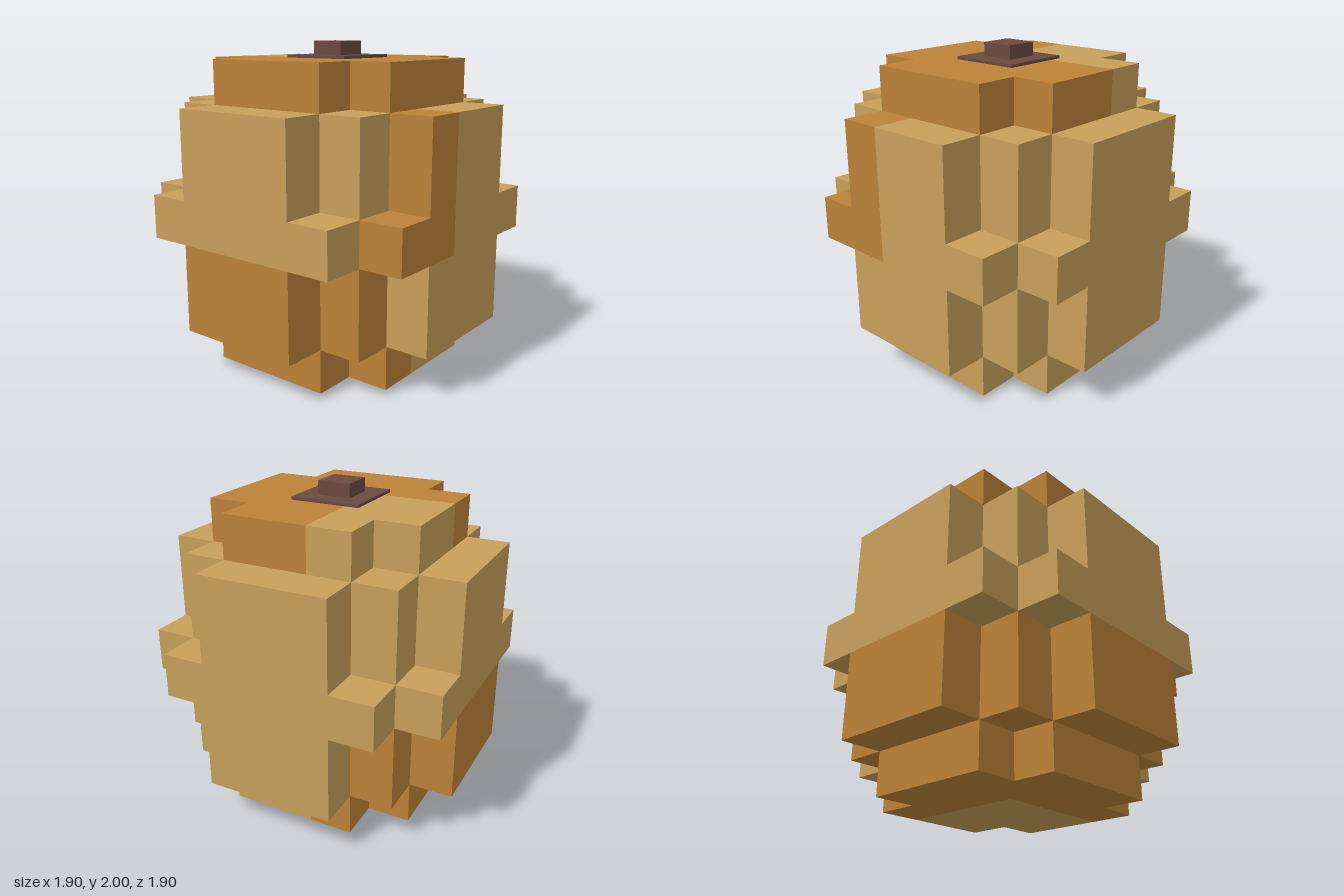
import * as THREE from 'three';
import { mergeGeometries } from 'three/addons/utils/BufferGeometryUtils.js';

const S = 0.271;            // edge of one cube
const TOP = 7 * S;

// Rounded 7x7x7 block body; i, j, k run from -3 to 3
function solid(i, j, k) {
  const x = Math.abs(i), y = Math.abs(j), z = Math.abs(k);
  if (Math.max(x, y, z) > 3) return false;
  if (y === 3) return x <= 2 && z <= 2 && x + z < 4;    // top and bottom caps
  if (x <= 2 && z <= 2) return true;                    // core
  const reach = y === 0 ? 2 : 1;                        // wider belt at mid height
  return (x === 3 && z <= reach) || (z === 3 && x <= reach);
}

// Patches of the darker colour, in chunks of three cubes: x, y, z
const PATCHES = new Set(['0,0,1', '0,0,2', '1,0,2', '2,1,2', '1,2,1', '0,2,2', '1,2,2']);
function isPatch(i, j, k) {
  const chunk = [i + 3, j + 3, k + 5].map((n) => Math.floor(n / 3));
  return PATCHES.has(chunk.join(','));
}

// One square face of a cube, facing along the normal n
function face(i, j, k, n) {
  const g = new THREE.PlaneGeometry(S, S);
  const normal = new THREE.Vector3(...n);
  g.applyQuaternion(new THREE.Quaternion().setFromUnitVectors(new THREE.Vector3(0, 0, 1), normal));
  g.translate((i + n[0] / 2) * S, (j + 3.5 + n[1] / 2) * S, (k + n[2] / 2) * S);
  return g;
}

// A turn from +z to -z is ambiguous but any half turn keeps the square
const NORMALS = [[1, 0, 0], [-1, 0, 0], [0, 1, 0], [0, -1, 0], [0, 0, 1], [0, 0, -1]];

export function createModel() {
  const model = new THREE.Group();
  model.name = 'blockBall';

  const tan = new THREE.MeshStandardMaterial({ name: 'tan', color: 0xc8a05a });
  const orange = new THREE.MeshStandardMaterial({ name: 'orange brown', color: 0xbc8238 });
  const brown = new THREE.MeshStandardMaterial({ name: 'dark brown', color: 0x6b4a40 });

  // Outer faces of the body, sorted by colour
  const tanFaces = [], orangeFaces = [];
  for (let i = -3; i <= 3; i++)
    for (let j = -3; j <= 3; j++)
      for (let k = -3; k <= 3; k++) {
        if (!solid(i, j, k)) continue;
        const list = isPatch(i, j, k) ? orangeFaces : tanFaces;
        for (const n of NORMALS)
          if (!solid(i + n[0], j + n[1], k + n[2])) list.push(face(i, j, k, n));
      }

  function add(name, geometry, material, y = 0) {
    const mesh = new THREE.Mesh(geometry, material);
    mesh.name = name;
    mesh.position.y = y;
    model.add(mesh);
  }
  add('bodyLight', mergeGeometries(tanFaces), tan);
  add('bodyPatches', mergeGeometries(orangeFaces), orange);

  // Stem on a flat plate
  add('stemPlate', new THREE.BoxGeometry(0.444, 0.018, 0.444), brown, TOP + 0.009);
  const stemHeight = 2 - TOP - 0.018;
  add('stem', new THREE.BoxGeometry(0.21, stemHeight, 0.21), brown, 2 - stemHeight / 2);

  return model;
}
